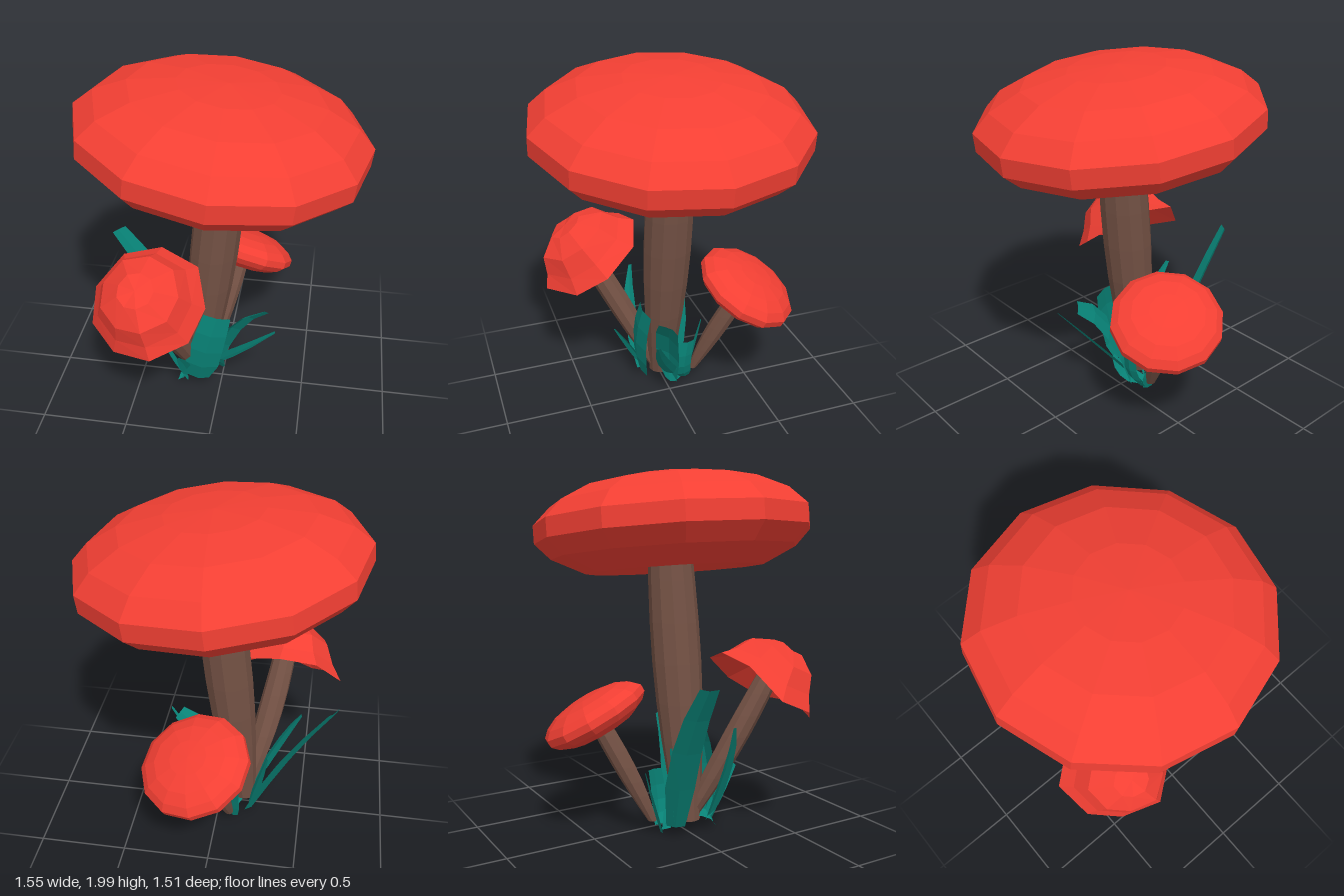
import * as THREE from 'three';

const paint = (color, side = THREE.FrontSide) =>
  new THREE.MeshStandardMaterial({ color, flatShading: true, side });
const red = paint(0xf23f33, THREE.DoubleSide);
const brown = paint(0x735144);
const teal = paint(0x088276, THREE.DoubleSide);
const v3 = (p) => new THREE.Vector3(...p);

// Cap: a faceted lathe, moved by a rule, set at a centre and leaned along an axis
function cap(name, profile, sides, centre, axis, turn, bend) {
  const geo = new THREE.LatheGeometry(profile.map((p) => new THREE.Vector2(...p)), sides);
  geo.rotateY(turn);
  const pos = geo.attributes.position;
  for (let i = 0; i < pos.count; i++) {
    const p = new THREE.Vector3().fromBufferAttribute(pos, i);
    bend(p, Math.atan2(p.x, p.z), Math.hypot(p.x, p.z));
    pos.setXYZ(i, p.x, p.y, p.z);
  }
  geo.computeVertexNormals();
  const mesh = new THREE.Mesh(geo, red);
  mesh.name = name;
  mesh.position.set(...centre);
  mesh.quaternion.setFromUnitVectors(new THREE.Vector3(0, 1, 0), v3(axis).normalize());
  return mesh;
}

// Curve from a to c that passes through b halfway
function arc(a, b, c) {
  const [start, mid, end] = [a, b, c].map(v3);
  const pull = mid.multiplyScalar(2).addScaledVector(start, -0.5).addScaledVector(end, -0.5);
  return new THREE.QuadraticBezierCurve3(start, pull, end);
}

// Stem: a cylinder whose rings follow an arc, swelling from base radius to top radius
function stem(name, path, baseRadius, topRadius, sides) {
  const geo = new THREE.CylinderGeometry(1, 1, 1, sides, 7);
  const pos = geo.attributes.position;
  for (let i = 0; i < pos.count; i++) {
    const t = THREE.MathUtils.clamp(pos.getY(i) + 0.5, 0, 1);
    const c = path.getPoint(t);
    const r = THREE.MathUtils.lerp(baseRadius, topRadius, t) + topRadius * 0.33 * Math.sin(Math.PI * t);
    pos.setXYZ(i, c.x + pos.getX(i) * r, c.y, c.z + pos.getZ(i) * r);
  }
  geo.computeVertexNormals();
  const mesh = new THREE.Mesh(geo, brown);
  mesh.name = name;
  return mesh;
}

// Grass blade: a creased ribbon along an arc, spread along one direction
function blade(path, across, width, tip = 0.25) {
  const side = v3(across).normalize();
  const verts = [], index = [];
  const steps = 4;
  for (let i = 0; i <= steps; i++) {
    const t = i / steps;
    const w = width * (t < 0.25 ? 0.65 + 1.4 * t : THREE.MathUtils.lerp(1, tip, ((t - 0.25) / 0.75) ** 2));
    const crease = path.getTangent(t).cross(side).normalize().multiplyScalar(w * 0.12);
    for (const k of [-0.5, 0, 0.5]) {
      const q = path.getPoint(t).addScaledVector(side, k * w);
      if (k === 0) q.add(crease);
      verts.push(q.x, q.y, q.z);
    }
    for (let j = 0; i > 0 && j < 2; j++) {
      const a = (i - 1) * 3 + j;
      index.push(a, a + 1, a + 4, a, a + 4, a + 3);
    }
  }
  const geo = new THREE.BufferGeometry();
  geo.setAttribute('position', new THREE.Float32BufferAttribute(verts, 3));
  geo.setIndex(index);
  geo.computeVertexNormals();
  const mesh = new THREE.Mesh(geo, teal);
  mesh.name = 'grassBlade';
  return mesh;
}

function group(name, ...parts) {
  const g = new THREE.Group();
  g.name = name;
  return g.add(...parts);
}

export function createModel() {
  // Large middle mushroom, its cap slightly oval and dished underneath
  const round = [[0, -0.07], [0.5, -0.23], [0.69, -0.14], [0.777, -0.051],
    [0.777, 0.049], [0.68, 0.141], [0.51, 0.222], [0.265, 0.27], [0, 0.285]];
  const oval = (p) => { p.z *= 0.97; };
  const large = group('largeMushroom',
    cap('largeCap', round, 12, [0, 1.7, 0], [0.117, 0.993, 0], 0.05, oval),
    stem('largeStem', arc([-0.15, 0.08, 0.01], [-0.06, 0.85, 0], [0.02, 1.64, -0.01]), 0.07, 0.12, 12));

  // Front mushroom with a crumpled, hollow cap and a flared brim
  const hollow = [[0, 0.11], [0.2, 0.06], [0.325, 0], [0.265, 0.06], [0.215, 0.15], [0.1, 0.205], [0, 0.205]];
  const crumple = (p, a, r) => {
    const s = r / 0.32;
    const grow = 1 + 0.05 * Math.sin(3 * a + 1) * s;
    p.x *= grow;
    p.z *= grow * (1 - 0.06 * Math.cos(a) * s);
    p.y += -0.08 * Math.abs(Math.sin(a)) * s ** 2 + 0.02 * Math.sin(4 * a) * s;
  };
  const front = group('frontMushroom',
    cap('frontCap', hollow, 9, [-0.36, 0.87, 0.4], [-0.08, 0.82, 0.56], 0.2, crumple),
    stem('frontStem', arc([-0.15, 0.1, 0.03], [-0.26, 0.5, 0.22], [-0.34, 0.92, 0.43]), 0.045, 0.065, 9));

  // Small rear mushroom
  const small = round.map(([r, y]) => [r * 0.4, y * 0.4]);
  const rear = group('rearMushroom',
    cap('rearCap', small, 12, [0.07, 0.69, -0.455], [0.28, 0.88, -0.42], 0, oval),
    stem('rearStem', arc([-0.08, 0.08, -0.18], [-0.02, 0.36, -0.3], [0.06, 0.68, -0.45]), 0.025, 0.06, 9));

  // Broad blades, then thin ones, then short shoots around the base
  const grass = group('grass',
    blade(arc([-0.13, 0.1, 0.13], [-0.075, 0.35, 0.165], [-0.01, 0.6, 0.145]), [-1, 0.2, 0.1], 0.2, 0.8),
    blade(arc([-0.06, 0.05, -0.02], [0.07, 0.42, 0.04], [0.26, 0.61, 0.08]), [0.5, -0.5, -0.7], 0.17, 0.5),
    blade(arc([-0.2, 0.07, -0.1], [-0.41, 0.55, -0.16], [-0.65, 0.93, -0.18]), [0.6, 0, -0.8], 0.16, 0.6),
    blade(arc([-0.1, 0.02, -0.1], [0.09, 0.27, 0.06], [0.33, 0.56, 0.18]), [0, 0, 1], 0.09),
    blade(arc([-0.2, 0.07, 0.12], [-0.35, 0.4, 0.14], [-0.47, 0.66, 0.1]), [0.3, 0, 1], 0.09),
    blade(arc([-0.2, 0.08, -0.09], [-0.25, 0.3, -0.13], [-0.3, 0.55, -0.19]), [0.5, 0, 1], 0.08),
    blade(arc([-0.19, 0.1, 0.12], [-0.2, 0.24, 0.2], [-0.22, 0.37, 0.28]), [0.7, 0.5, -0.3], 0.07),
    blade(arc([-0.06, 0.04, -0.12], [0, 0.16, -0.09], [0.01, 0.34, -0.11]), [0.1, 0, 1], 0.1, 0.9),
    blade(arc([-0.1, 0.01, -0.13], [-0.1, 0.18, -0.18], [-0.13, 0.38, -0.25]), [1, 0, 0.3], 0.09),
    blade(arc([-0.24, 0.06, 0.13], [-0.19, 0.12, 0.06], [-0.12, 0.06, -0.08]), [0.7, 0.5, 0], 0.07),
    blade(arc([-0.1, 0.04, -0.1], [-0.03, 0.09, 0], [0.01, 0.19, 0.06]), [0.8, -0.4, 0], 0.09));

  return group('mushroomCluster', large, front, rear, grass);
}
